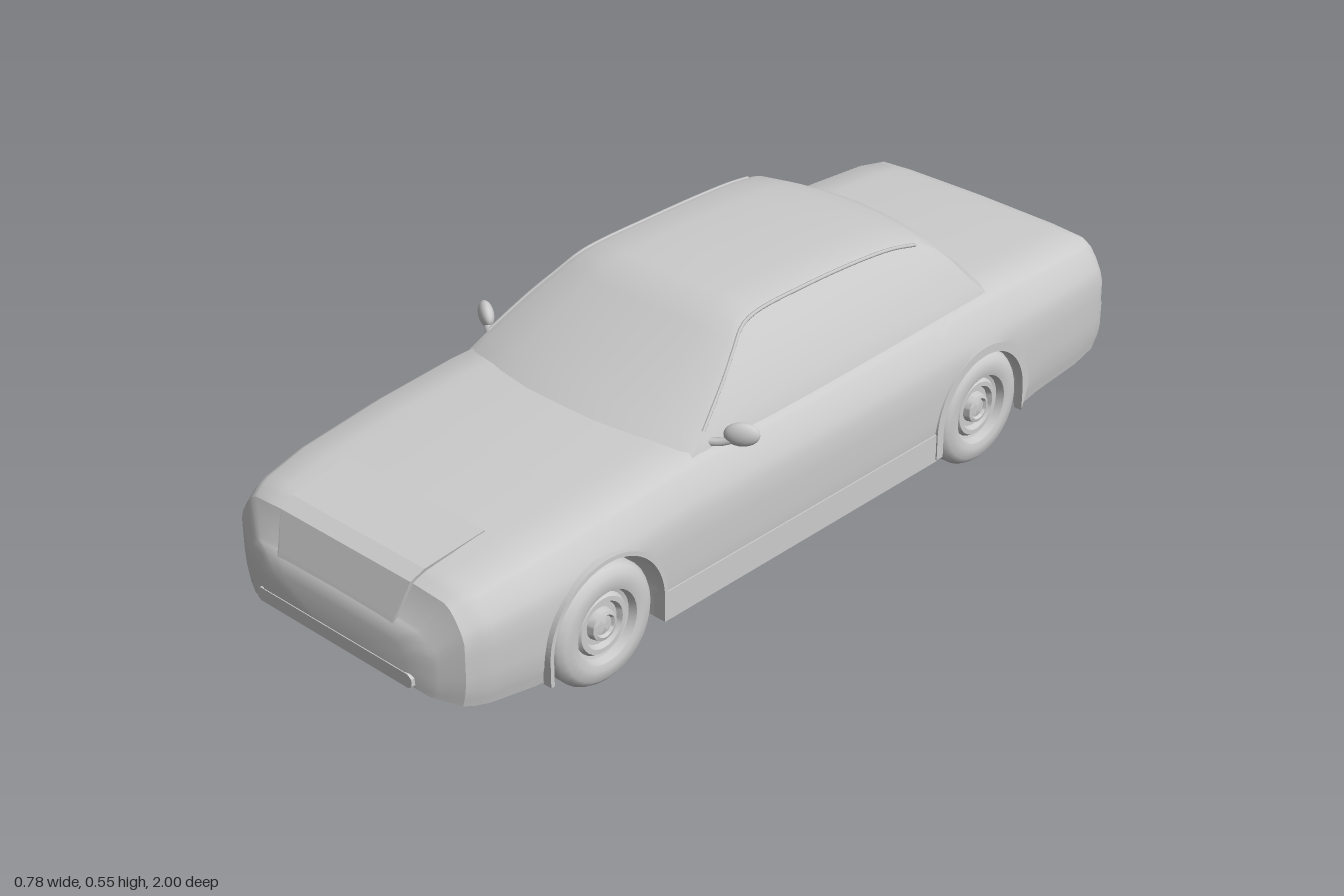
import * as THREE from 'three';
import { toCreasedNormals, mergeVertices } from 'three/addons/utils/BufferGeometryUtils.js';

const material = new THREE.MeshStandardMaterial({ color: 0xcccccc });

// Piecewise linear lookup in [[key, value], ...] with rising keys
function lookup(table, k) {
  if (k <= table[0][0]) return table[0][1];
  for (let i = 1; i < table.length; i++) {
    const [a, va] = table[i - 1], [b, vb] = table[i];
    if (k <= b) return va + (vb - va) * (k - a) / (b - a);
  }
  return table[table.length - 1][1];
}

// Lofts half sections (bottom centre to top centre, +x side), mirrored, from front to back
function loft(halves, crease) {
  const rings = halves.map(h => [...h, ...h.slice(1, -1).reverse().map(([x, y, z]) => [-x, y, z])]);
  const n = rings[0].length, pos = rings.flat(2), idx = [];
  for (let i = 0; i < rings.length - 1; i++)
    for (let j = 0; j < n; j++) {
      const k = (j + 1) % n, a = i * n + j, b = i * n + k, c = b + n, d = a + n;
      idx.push(a, d, c, a, c, b);
    }
  const last = (rings.length - 1) * n;
  for (let j = 1; j < n - 1; j++) idx.push(0, j, j + 1, last, last + j + 1, last + j);
  const g = new THREE.BufferGeometry();
  g.setAttribute('position', new THREE.Float32BufferAttribute(pos, 3));
  g.setIndex(idx);
  return toCreasedNormals(g, crease);
}

// Body width, deck height and underside along z
const WIDTH = [[-1, .25], [-.985, .3], [-.96, .32], [-.93, .335], [-.85, .35], [-.7, .36], [.6, .36],
  [.8, .35], [.9, .335], [.95, .315], [.98, .26], [.997, .2]];
const DECK = [[-1, .21], [-.985, .235], [-.952, .25], [-.945, .345], [-.92, .365], [-.85, .375], [-.6, .385],
  [0, .375], [.4, .375], [.6, .36], [.8, .34], [.92, .32], [.95, .305], [.975, .24], [.99, .225], [.997, .2]];
const UNDER = [[-1, .12], [-.985, .1], [-.95, .09], [-.7, .085], [-.62, .07], [.7, .07], [.8, .075],
  [.93, .085], [.98, .1], [.997, .12]];
// Share of the half width at each share of the height
const SIDE = [[0, .965], [.15, .99], [.3, 1], [.65, 1], [.74, .98], [.85, .935], [.93, .89], [.97, .84], [.99, .6], [1, 0]];
const ROWS = [0, .08, .15, .3, .5, .65, .74, .8, .85, .9, .93, .97, .985, .99, 1];

const AXLES = [.63, -.49], AXLE_Y = .13, ARCH = .15;

function bodyGeometry() {
  const zs = [...WIDTH, ...DECK, ...UNDER].map(p => p[0]);
  for (let z = -.9; z < .91; z += .1) zs.push(z);
  for (const c of AXLES) {
    zs.push(c - ARCH - .0005, c + ARCH + .0005);
    for (let i = 0; i <= 24; i++) zs.push(c + ARCH * Math.cos(Math.PI * i / 24));
  }
  zs.sort((a, b) => b - a);
  const stations = zs.filter((z, i) => i === 0 || zs[i - 1] - z > 1e-4);
  return loft(stations.map(z => {
    const w = lookup(WIDTH, z), top = lookup(DECK, z), b = lookup(UNDER, z);
    // the lower edge rises over the wheels, which also forms the wells
    let edge = b;
    for (const c of AXLES) {
      const d = Math.abs(z - c);
      if (d <= ARCH + 1e-6) edge = AXLE_Y + Math.sqrt(Math.max(0, ARCH * ARCH - d * d));
    }
    const inner = Math.min(.25, w * .8);
    const pts = [[0, b, z], [inner, b, z], [inner, edge, z]];
    const low = (edge - b) / (top - b);
    for (const r of ROWS) {
      const f = Math.max(r, low);
      pts.push([w * lookup(SIDE, f), b + f * (top - b), z]);
    }
    return pts;
  }), .6);
}

// Cabin: roof line along z and the lean of the side windows
const ROOF = [[-.66, .36], [-.63, .382], [-.58, .42], [-.53, .468], [-.49, .5], [-.45, .52], [-.36, .535], [-.25, .543],
  [-.08, .547], [.08, .545], [.13, .535], [.4, .375], [.43, .355]];
const LEAN = [[.33, .318], [.36, .312], [.38, .305], [.45, .272], [.53, .222], [.55, .205]];
const bow = (x, y, z) => [x, y, z * (1 - .12 * (x / .3) ** 2)];
function roofEdge(z) {
  const y = lookup(ROOF, z) - .012;
  return [lookup(LEAN, y), y];
}

function cabinGeometry() {
  const zs = ROOF.map(p => p[0]);
  for (const z of [.36, .32, .27, .22, .17, 0, -.16, -.3, -.41]) zs.push(z);
  zs.sort((a, b) => b - a);
  return loft(zs.map(z => {
    const [ex, ey] = roofEdge(z), top = ey + .012, pts = [bow(0, .33, z)];
    for (let i = 0; i <= 6; i++) {
      const y = .33 + (ey - .33) * i / 6;
      pts.push(bow(lookup(LEAN, y), y, z));
    }
    pts.push(bow(ex * .92, top - .006, z), bow(ex * .6, top - .002, z), bow(ex * .3, top, z), bow(0, top, z));
    return pts;
  }), .45);
}

// Tyre, rim and hub in one turned profile: radius, distance from the car's centre line
function wheelGeometry() {
  const profile = [[0, .28], [.075, .28], [.085, .264], [.112, .262], [.123, .272], [.13, .283], [.13, .338], [.123, .349],
    [.112, .358], [.09, .36], [.078, .357], [.073, .34], [.066, .338], [.06, .347], [.05, .347], [.045, .335],
    [.034, .335], [.031, .35], [.024, .352], [.02, .346], [.012, .348], [0, .349]];
  const g = new THREE.LatheGeometry(profile.map(p => new THREE.Vector2(...p)), 32).rotateZ(-Math.PI / 2);
  g.deleteAttribute('uv');
  g.deleteAttribute('normal');
  return toCreasedNormals(mergeVertices(g), .6);
}

// Lip around a wheel arch, reaching down to the sill
function archLipGeometry(inner, outer) {
  const s = new THREE.Shape();
  s.moveTo(outer, -.055);
  s.absarc(0, 0, outer, 0, Math.PI, false);
  s.lineTo(-outer, -.055);
  s.lineTo(-inner, -.055);
  s.absarc(0, 0, inner, Math.PI, 0, true);
  s.lineTo(inner, -.055);
  return new THREE.ExtrudeGeometry(s, { depth: .02, bevelEnabled: false, curveSegments: 24 }).rotateY(Math.PI / 2);
}

// Raised panel running from the nose up onto the hood, wider at the top
function nosePanelGeometry() {
  const side = [[.988, .195], [.994, .207], [.984, .235], [.956, .309], [.925, .325], [.78, .343], [.78, .3], [.95, .195]];
  const shape = new THREE.Shape(side.map(([z, y]) => new THREE.Vector2(-z, y)));
  const g = new THREE.ExtrudeGeometry(shape, { depth: .32, bevelEnabled: false });
  g.translate(0, 0, -.16).rotateY(Math.PI / 2);
  const p = g.attributes.position;
  for (let i = 0; i < p.count; i++) p.setX(i, p.getX(i) * (1 + Math.max(0, p.getY(i) - .23) * 1.8));
  g.computeVertexNormals();
  return g;
}

export function createModel() {
  const car = new THREE.Group();
  car.name = 'sedan';
  const add = (name, geometry, x = 0, y = 0, z = 0) => {
    const m = new THREE.Mesh(geometry, material);
    m.name = name;
    m.position.set(x, y, z);
    car.add(m);
    return m;
  };

  add('body', bodyGeometry());
  add('cabin', cabinGeometry());
  add('nosePanel', nosePanelGeometry());

  // Low air intake across the front bumper
  const intake = new THREE.Shape([[-.22, .118], [-.21, .111], [.21, .111], [.22, .118], [.22, .134], [.21, .141],
    [-.21, .141], [-.22, .134]].map(p => new THREE.Vector2(...p)));
  add('airIntake', new THREE.ExtrudeGeometry(intake, { depth: .022, bevelEnabled: false }), 0, 0, .977);

  const wheel = wheelGeometry();
  const lips = [archLipGeometry(.147, .156), archLipGeometry(.134, .154)];
  const housing = new THREE.SphereGeometry(1, 24, 16);

  for (const s of [1, -1]) {
    const side = s > 0 ? 'left' : 'right';
    AXLES.forEach((z, i) => {
      const end = i ? 'Rear' : 'Front';
      add(side + end + 'Wheel', wheel, 0, AXLE_Y, z).rotation.y = s > 0 ? 0 : Math.PI;
      add(side + end + 'ArchLip', lips[i], s > 0 ? .344 : -.364, AXLE_Y, z);
    });
    add(side + 'Sill', new THREE.BoxGeometry(.03, .065, .82), s * .346, .1025, .07);

    // Rail along the roof edge and down the windscreen pillar
    const path = [.35, .3, .24, .18, .13, .08, -.08, -.25, -.36, -.43].map(z => {
      const [x, y] = roofEdge(z);
      return new THREE.Vector3(...bow(s * x, y, z));
    });
    add(side + 'RoofRail', new THREE.TubeGeometry(new THREE.CatmullRomCurve3(path), 40, .004, 6));

    // Door mirror on a short arm
    const mirror = add(side + 'Mirror', housing, s * .357, .391, .262);
    mirror.scale.set(.036, .025, .016);
    mirror.rotation.set(0, s * .55, s * .08);
    const arm = new THREE.CatmullRomCurve3([[.295, .368, .3], [.322, .371, .285], [.345, .38, .27]]
      .map(([x, y, z]) => new THREE.Vector3(s * x, y, z)));
    add(side + 'MirrorArm', new THREE.TubeGeometry(arm, 8, .009, 8));

    // Flat exhaust box under the tail
    const exhaust = add(side + 'Exhaust', new THREE.BoxGeometry(.09, .018, .25), s * .2, .087, -.84);
    exhaust.rotation.x = .06;
  }
  return car;
}
